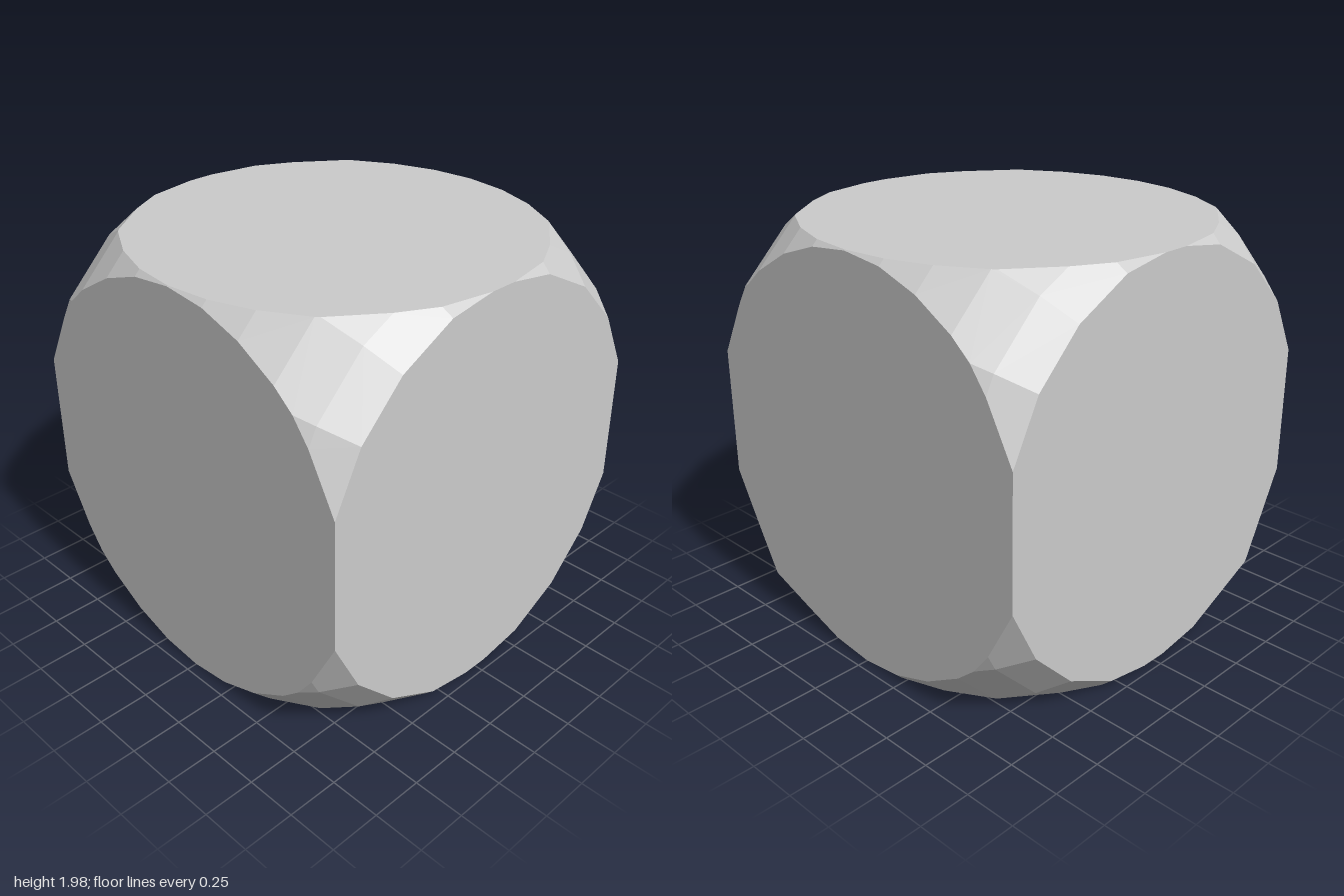
import * as THREE from 'three';
import { ConvexGeometry } from 'three/addons/geometries/ConvexGeometry.js';

const RADIUS = 1.387, STEPS = 20;
const HALF = { x: 0.95, y: 0.991, z: 0.956 };

// Point on a faceted ball whose poles lie on the z axis
function ballPoint(ring, seg) {
  const a = ring * Math.PI / STEPS, b = seg * 2 * Math.PI / STEPS;
  return new THREE.Vector3(
    RADIUS * Math.sin(a) * Math.cos(b),
    RADIUS * Math.sin(a) * Math.sin(b),
    RADIUS * Math.cos(a));
}

// Cut a polygon at one side of the box
function clip(poly, axis, sign) {
  const out = [], limit = HALF[axis];
  poly.forEach((p, i) => {
    const q = poly[(i + 1) % poly.length];
    const dp = limit - sign * p[axis], dq = limit - sign * q[axis];
    if (dp >= 0) out.push(p);
    if ((dp >= 0) !== (dq >= 0)) {
      const cut = p.clone().lerp(q, dp / (dp - dq));
      cut[axis] = sign * limit;
      out.push(cut);
    }
  });
  return out;
}

export function createModel() {
  const group = new THREE.Group();
  group.name = 'roundedCube';

  // Corner facets: the ball's quads trimmed to the box
  const points = new Map();
  const add = p => points.set([p.x, p.y, p.z].map(v => Math.round(v * 1e4)).join(), p);
  for (let r = 0; r < STEPS; r++) {
    for (let s = 0; s < STEPS; s++) {
      let poly = [ballPoint(r, s), ballPoint(r + 1, s), ballPoint(r + 1, s + 1), ballPoint(r, s + 1)];
      for (const axis of ['x', 'y', 'z']) {
        for (const sign of [1, -1]) poly = clip(poly, axis, sign);
      }
      poly.forEach(add);
    }
  }

  // Two slightly fuller lower corners
  add(new THREE.Vector3(HALF.x, -0.8, 0.69));
  add(new THREE.Vector3(-0.73, -0.76, -HALF.z));

  // The hull closes the six flat faces
  const body = new THREE.Mesh(
    new ConvexGeometry([...points.values()]),
    new THREE.MeshStandardMaterial({ color: 0xcccccc, flatShading: true }));
  body.name = 'body';
  body.position.y = 1;
  group.add(body);
  return group;
}
